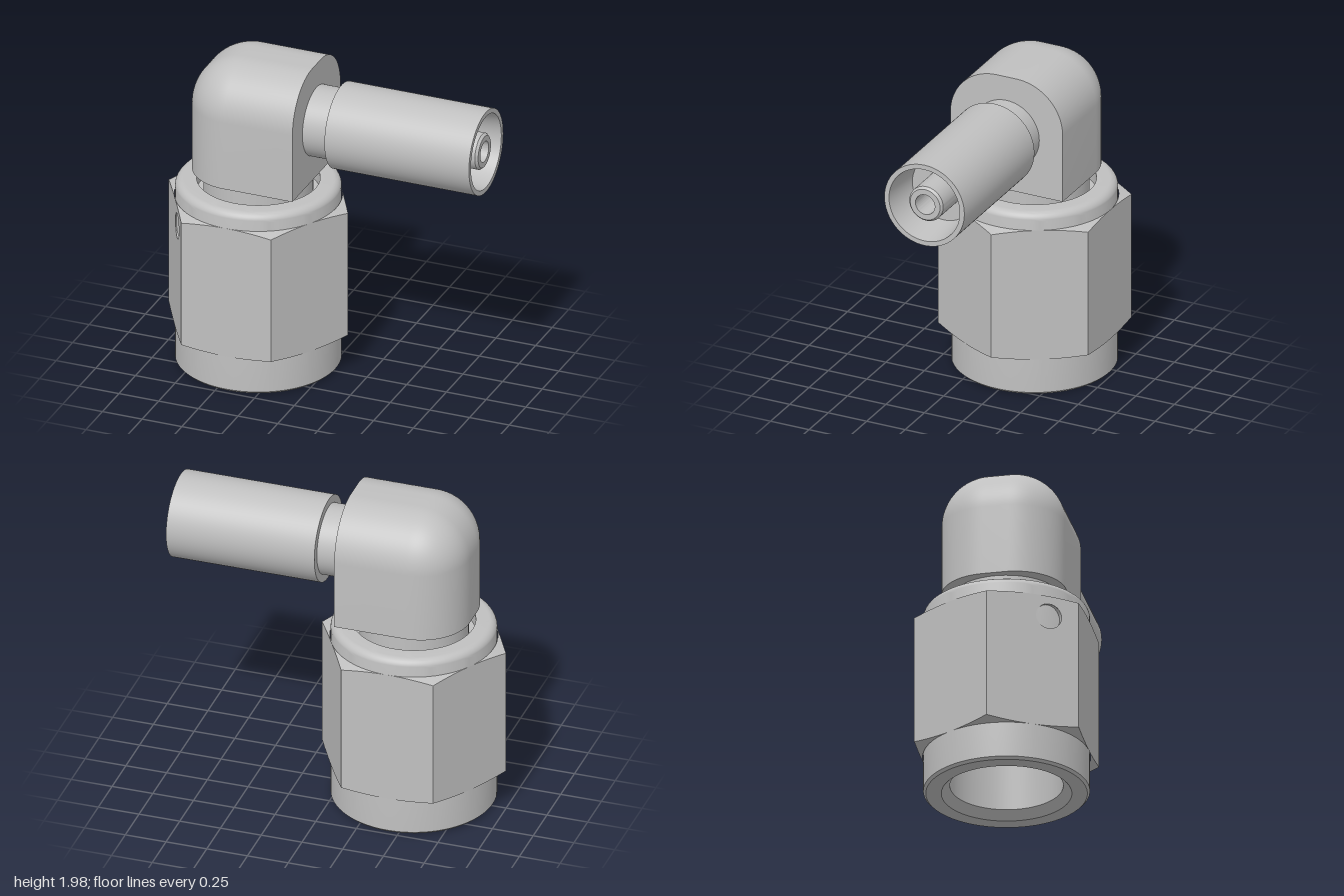
import * as THREE from 'three';
import { toCreasedNormals } from 'three/addons/utils/BufferGeometryUtils.js';
import { RoundedBoxGeometry } from 'three/addons/geometries/RoundedBoxGeometry.js';

const AXIS_X = -0.434;  // vertical axis of the nut
const PIPE_Y = 1.615;   // height of the horizontal pipe axis

// Revolved profile of [radius, height] pairs, with crisp edges
function lathe(profile, segments = 72) {
  const points = profile.map(([r, y]) => new THREE.Vector2(r, y));
  return toCreasedNormals(new THREE.LatheGeometry(points, segments), 0.5);
}

export function createModel() {
  const group = new THREE.Group();
  const steel = new THREE.MeshStandardMaterial({ color: 0xc0c0c0 });
  const add = (name, geometry, parent = group) => {
    const mesh = new THREE.Mesh(geometry, steel);
    mesh.name = name;
    parent.add(mesh);
    return mesh;
  };

  // Nut sleeve: bored cylinder with a rounded top rim
  const rim = [];
  for (let i = 0; i <= 8; i++) {
    const t = (i / 8) * Math.PI / 2;
    rim.push([0.435 + 0.05 * Math.cos(t), 1.12 + 0.05 * Math.sin(t)]);
  }
  add('nutSleeve', lathe([
    [0, 0.9], [0.33, 0.9], [0.33, 0.05], [0.38, 0], [0.47, 0], [0.485, 0.015],
    ...rim, [0.36, 1.17], [0.36, 1.08], [0.3, 1.08],
  ])).position.x = AXIS_X;

  // Hexagonal grip: six walls whose ends are cut by shallow conical chamfers
  const apothem = 0.489, half = apothem / Math.sqrt(3);
  const low = 0.23, high = 1.065, steps = 24;
  const drop = (s) => 0.27 * (Math.hypot(apothem, s) - apothem);
  const holeS = 0.1, holeY = 0.935, holeR = 0.078;

  const wall = (withHole) => {
    const points = [];
    for (let i = 0; i <= steps; i++) {
      const s = -half + (2 * half * i) / steps;
      points.push(new THREE.Vector2(s, low + drop(s)));
    }
    for (let i = steps; i >= 0; i--) {
      const s = -half + (2 * half * i) / steps;
      points.push(new THREE.Vector2(s, high - drop(s)));
    }
    const shape = new THREE.Shape(points);
    if (withHole) {
      shape.holes.push(new THREE.Path().absarc(holeS, holeY, holeR, 0, Math.PI * 2, true));
    }
    return new THREE.ShapeGeometry(shape, 24).translate(0, 0, apothem);
  };

  const chamfer = (top) => {
    const geometry = new THREE.PlaneGeometry(2 * half, 1, steps, 1);
    const p = geometry.attributes.position;
    for (let i = 0; i < p.count; i++) {
      const s = p.getX(i);
      const inner = (p.getY(i) > 0) === top;
      const scale = inner ? apothem / Math.hypot(apothem, s) : 1;
      const d = inner ? 0 : drop(s);
      p.setXYZ(i, s * scale, top ? high - d : low + d, apothem * scale);
    }
    geometry.computeVertexNormals();
    return geometry;
  };

  const hex = new THREE.Group();
  hex.name = 'hexGrip';
  hex.position.x = AXIS_X;
  group.add(hex);
  for (let i = 0; i < 6; i++) {
    const side = new THREE.Group();
    side.name = 'hexSide';
    side.rotation.y = (i * Math.PI) / 3;
    hex.add(side);
    const drilled = i === 5;
    add('hexWall', wall(drilled), side);
    add('topChamfer', chamfer(true), side);
    add('bottomChamfer', chamfer(false), side);
    if (drilled) {
      const hole = lathe([[holeR, 0], [holeR, -0.12], [0, -0.12]], 24).rotateX(Math.PI / 2);
      add('wireHole', hole, side).position.set(holeS, holeY, apothem);
    }
  }

  // Neck between nut and elbow
  add('neck', lathe([[0.32, 1.06], [0.32, 1.26]])).position.x = AXIS_X;

  // Elbow block: rounded box flattened square at its right end and underside
  const x0 = -0.8, x1 = -0.067, y0 = 1.25, y1 = 1.98, r = 0.3;
  const block = new RoundedBoxGeometry(x1 - x0 + r, y1 - y0 + r, 0.73, 12, r);
  block.translate((x0 + x1 + r) / 2, (y0 + y1 - r) / 2, 0);
  const p = block.attributes.position;
  for (let i = 0; i < p.count; i++) {
    p.setX(i, Math.min(p.getX(i), x1 - 0.001));
    p.setY(i, Math.max(p.getY(i), y0 + 0.001));
  }
  add('elbow', toCreasedNormals(block, 0.5));

  // Horizontal parts, turned about the x axis
  const turned = (name, profile) => {
    add(name, lathe(profile).rotateZ(-Math.PI / 2)).position.y = PIPE_Y;
  };
  turned('pipeNeck', [[0.213, -0.08], [0.213, 0.1]]);
  turned('pipeSleeve', [
    [0.2, 0.09], [0.26, 0.09], [0.26, 1], [0.23, 1], [0.203, 0.75], [0.1, 0.75],
  ]);
  turned('innerTube', [
    [0.11, 0.74], [0.11, 0.975], [0.097, 0.99], [0.063, 0.99], [0.063, 0.78], [0, 0.78],
  ]);

  return group;
}
